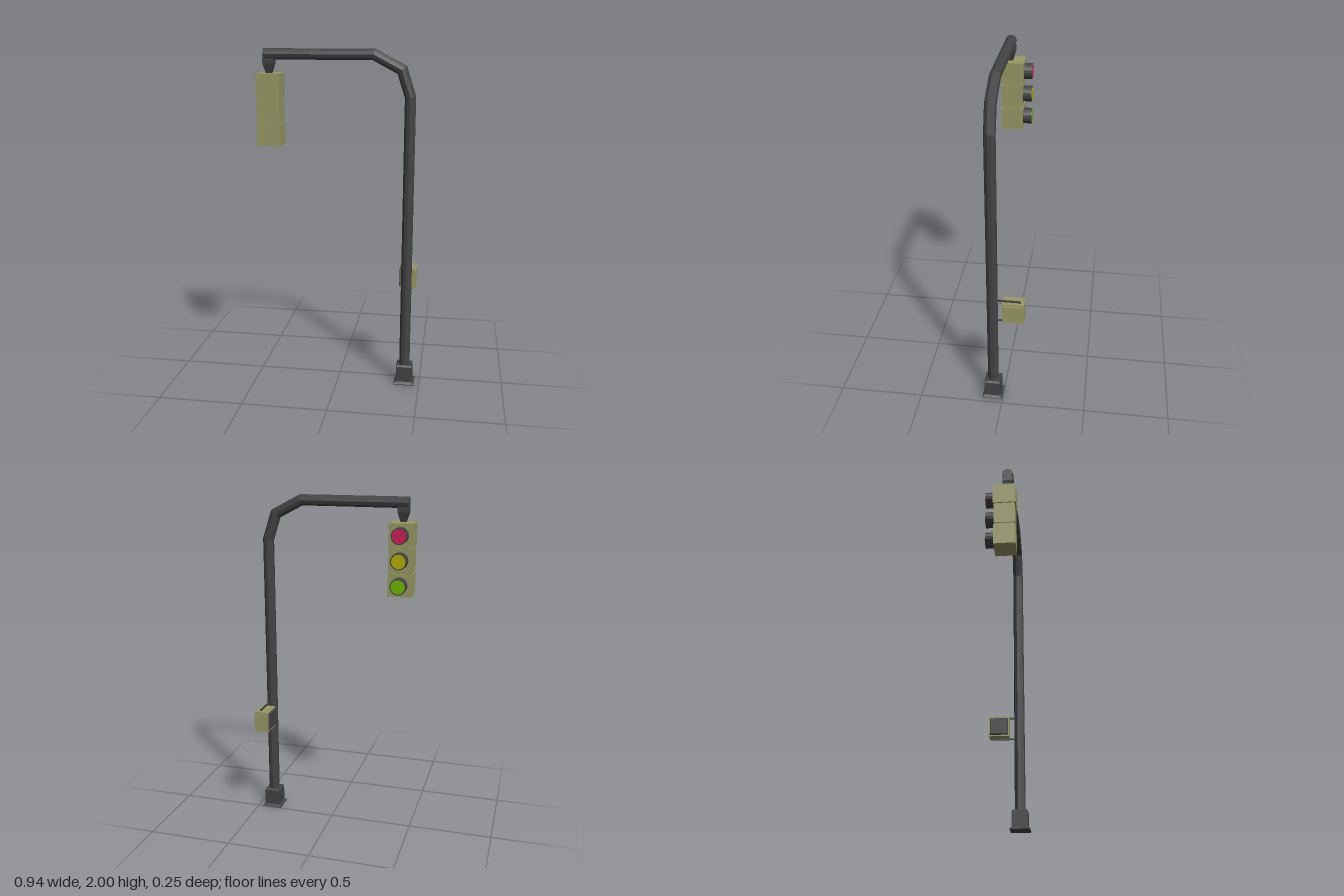
import * as THREE from 'three';

const mat = (color) => new THREE.MeshStandardMaterial({ color, flatShading: true });

export function createModel() {
  const model = new THREE.Group();
  const dark = mat(0x434345), olive = mat(0x999966);

  const add = (name, geometry, material, x, y, z, parent = model) => {
    const mesh = new THREE.Mesh(geometry, material);
    mesh.name = name;
    mesh.position.set(x, y, z);
    parent.add(mesh);
    return mesh;
  };
  const box = (name, w, h, d, material, x, y, z, parent) =>
    add(name, new THREE.BoxGeometry(w, h, d), material, x, y, z, parent);

  // Square stack of half-widths and heights, edges along x and z
  const squareLathe = (profile) => {
    const pts = profile.map(([half, y]) => new THREE.Vector2(half * Math.SQRT2, y));
    return new THREE.LatheGeometry(pts, 4, Math.PI / 4).toNonIndexed();
  };

  // Capped tube with mitred corners along a path in the xy plane
  const mitredTube = (path, radius, sides) => {
    const pts = path.map(([x, y]) => new THREE.Vector2(x, y));
    const pos = [], index = [];
    pts.forEach((p, i) => {
      const a = pts[Math.max(i - 1, 0)], b = pts[Math.min(i + 1, pts.length - 1)];
      const din = (i ? p.clone().sub(a) : b.clone().sub(p)).normalize();
      const dout = (i < pts.length - 1 ? b.clone().sub(p) : din.clone()).normalize();
      const t = din.clone().add(dout).normalize();
      const stretch = radius / t.dot(din);
      for (let s = 0; s < sides; s++) {
        const ang = ((s + 0.5) / sides) * Math.PI * 2;
        const u = Math.cos(ang) * stretch;
        pos.push(p.x - t.y * u, p.y + t.x * u, Math.sin(ang) * radius);
        if (i < pts.length - 1) {
          const n = (s + 1) % sides, r = i * sides;
          index.push(r + s, r + n, r + sides + s, r + n, r + sides + n, r + sides + s);
        }
      }
    });
    const last = (pts.length - 1) * sides;
    for (let s = 1; s < sides - 1; s++) {
      index.push(0, s + 1, s, last, last + s, last + s + 1);
    }
    const g = new THREE.BufferGeometry();
    g.setAttribute('position', new THREE.Float32BufferAttribute(pos, 3));
    g.setIndex(index);
    g.computeVertexNormals();
    return g;
  };

  // Pole, bend and arm
  const poleX = 0.409, poleZ = 0.063;
  add('poleAndArm', mitredTube(
    [[poleX, 0.1], [poleX, 1.735], [0.36, 1.885], [0.202, 1.968], [-0.43, 1.968]], 0.0325, 10),
  dark, 0, 0, poleZ);

  // Flared square footing
  add('base', squareLathe(
    [[0, 0], [0.061, 0], [0.061, 0.004], [0.048, 0.016], [0.048, 0.112], [0.04, 0.12], [0, 0.12]]),
  dark, poleX, 0, poleZ);

  // Signal head with three lamps facing the back
  const head = new THREE.Group();
  head.name = 'signalHead';
  head.position.set(-0.4, 0, 0.046);
  model.add(head);
  add('hanger', squareLathe(
    [[0, 1.855], [0.014, 1.855], [0.031, 1.915], [0.031, 1.945], [0, 1.945]]),
  dark, 0, 0, poleZ - 0.046, head);

  const lamps = [
    ['red', 0xcc2058, 1.795, 0.139, 0.135],
    ['yellow', 0xb8ae00, 1.655, 0.135, 0.124],
    ['green', 0x6fb800, 1.513, 0.138, 0.128],
  ];
  for (const [name, color, y, width, depth] of lamps) {
    box(name + 'Housing', width, 0.131, depth, olive, 0, y, 0, head);
    const visor = new THREE.CylinderGeometry(0.047, 0.047, 0.06, 16).rotateX(-Math.PI / 2);
    add(name + 'Visor', visor, dark, 0, y, -0.084, head);
    const lens = new THREE.CylinderGeometry(0.041, 0.041, 0.004, 16).rotateX(-Math.PI / 2);
    add(name + 'Lens', lens, mat(color), 0, y, -0.1135, head);
  }
  // Narrow necks between housings
  for (const y of [1.725, 1.584]) box('housingJoint', 0.126, 0.02, 0.112, olive, 0, y, 0, head);

  // Pedestrian signal beside the pole, its screen facing -x
  const crossing = new THREE.Group();
  crossing.name = 'pedestrianSignal';
  crossing.position.set(0.41, 0.642, -0.063);
  model.add(crossing);
  box('crossingHousing', 0.08, 0.126, 0.125, olive, 0, 0, 0, crossing);
  box('crossingBackPlate', 0.012, 0.108, 0.115, olive, 0.045, 0, 0, crossing);
  const screen = new THREE.BoxGeometry(0.008, 0.11, 0.115);
  const p = screen.attributes.position;
  for (let i = 0; i < p.count; i++) {
    if (p.getX(i) < 0) p.setXYZ(i, p.getX(i), p.getY(i) * 0.9, p.getZ(i) * 0.9);
  }
  add('crossingScreen', screen, dark, -0.044, 0, 0, crossing);

  // Thin brackets reaching from the pole over and under the housing
  for (const side of [1, -1]) {
    box('bracketArm', 0.01, 0.008, 0.15, dark, 0.014, side * 0.069, 0.033, crossing);
    box('bracketTab', 0.01, 0.012, 0.02, dark, 0.014, side * 0.064, -0.03, crossing);
  }

  return model;
}
